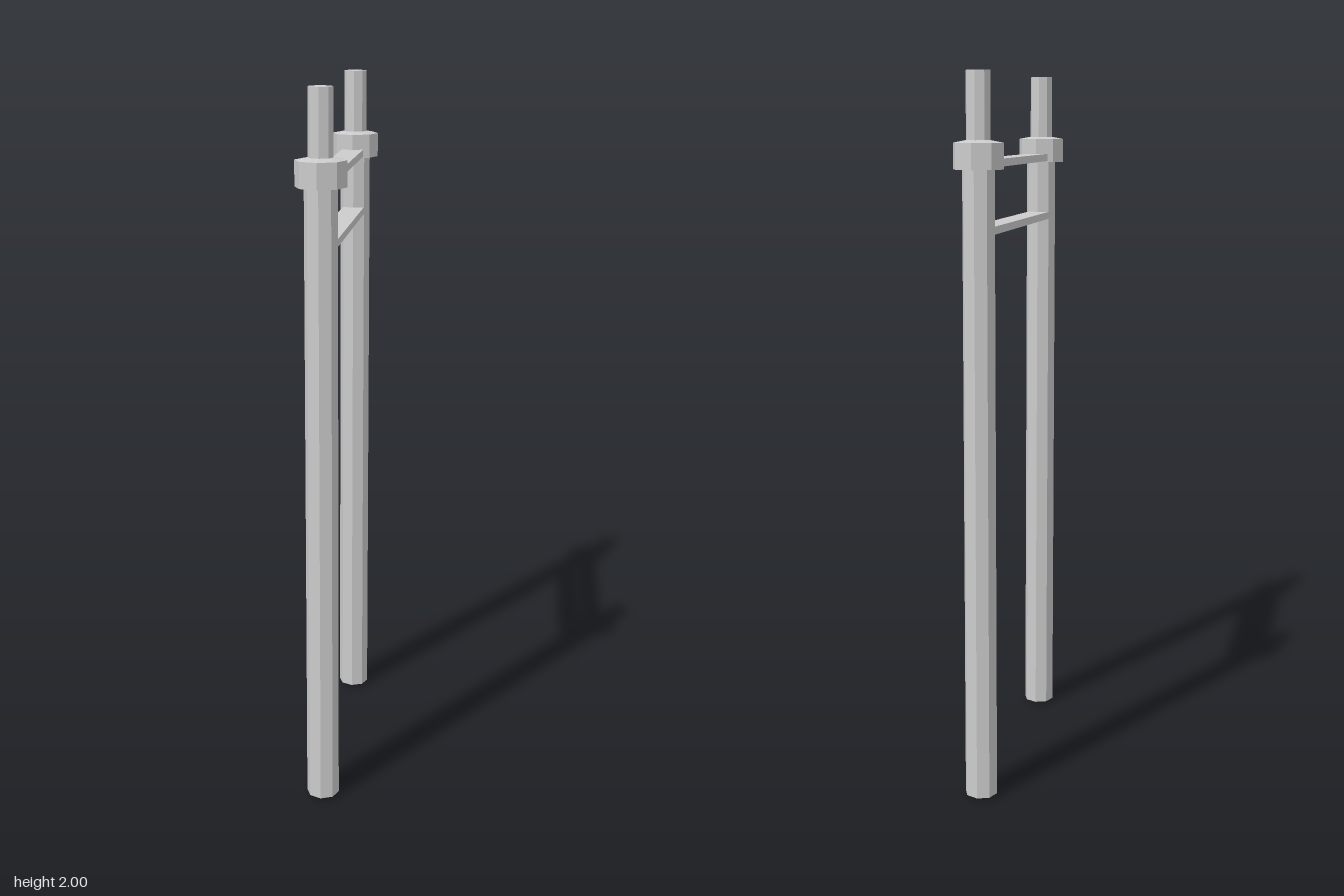
import * as THREE from 'three';

const material = new THREE.MeshStandardMaterial({ color: 0xcccccc, flatShading: true });

// Eight-sided turned part from [radius, height] pairs, listed bottom to top
function turned(name, profile) {
  const points = profile.map(([r, y]) => new THREE.Vector2(r, y));
  const mesh = new THREE.Mesh(new THREE.LatheGeometry(points, 8), material);
  mesh.name = name;
  return mesh;
}

function createUpright(name, z) {
  const upright = new THREE.Group();
  upright.name = name;
  upright.add(
    // Long post with a very shallow pointed foot
    turned('post', [[0, 0], [0.046, 0.008], [0.044, 1.76]]),
    // Collar with a slightly domed top
    turned('collar', [[0.04, 1.75], [0.068, 1.75], [0.068, 1.818], [0.03, 1.825]]),
    // Thin pin on top
    turned('topPin', [[0.033, 1.81], [0.033, 2], [0, 2]])
  );
  upright.position.z = z;
  return upright;
}

export function createModel() {
  const model = new THREE.Group();
  model.name = 'postFrame';
  const spacing = 0.351;
  model.add(createUpright('frontUpright', spacing), createUpright('backUpright', -spacing));

  // Flat crossbars joining the two uprights
  for (const [name, y] of [['upperCrossbar', 1.764], ['lowerCrossbar', 1.59]]) {
    const bar = new THREE.Mesh(new THREE.BoxGeometry(0.063, 0.021, 0.64), material);
    bar.name = name;
    bar.position.set(-0.001, y, 0);
    model.add(bar);
  }
  return model;
}
